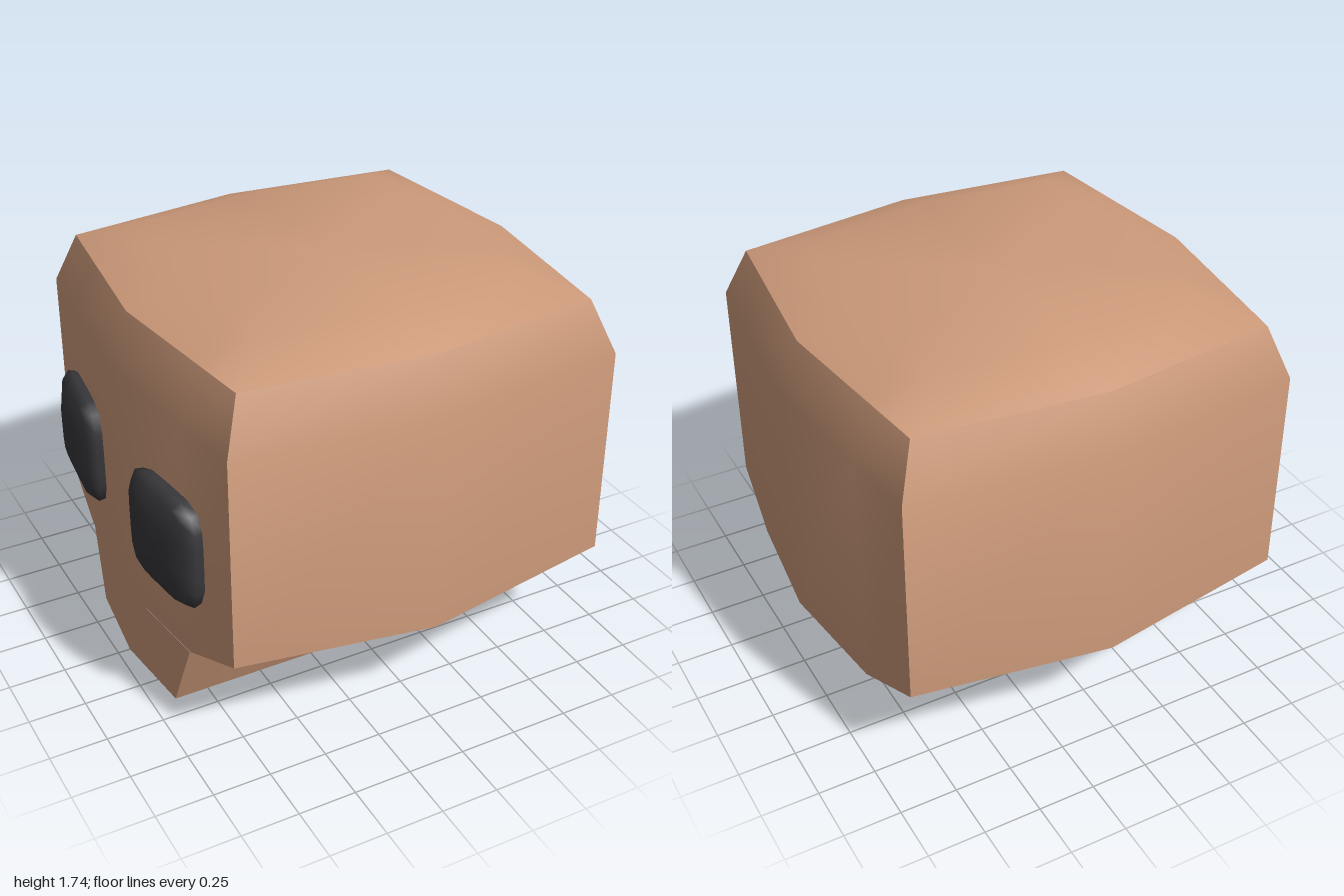
import * as THREE from 'three';
import { toCreasedNormals } from 'three/addons/utils/BufferGeometryUtils.js';

const CREASE = THREE.MathUtils.degToRad(40);
const JAW_Z = 0.535; // half depth of the flat underside, where the jaw joins

function build(points, faces) {
  const geo = new THREE.BufferGeometry();
  geo.setAttribute('position', new THREE.Float32BufferAttribute(points.flat(), 3));
  geo.setIndex(faces.flat());
  geo.computeVertexNormals();
  return geo;
}

// Skin equal-length rings (counter-clockwise seen from the outer end), with a cap on the last
function loft(rings, capPoint) {
  const n = rings[0].length, faces = [];
  for (let r = 0; r < rings.length - 1; r++) {
    for (let i = 0; i < n; i++) {
      const a = r * n + i, b = r * n + (i + 1) % n;
      faces.push([a, b, b + n], [a, b + n, a + n]);
    }
  }
  const points = rings.flat(), top = (rings.length - 1) * n;
  points.push(capPoint);
  for (let i = 0; i < n; i++) faces.push([top + i, top + (i + 1) % n, rings.length * n]);
  return build(points, faces);
}

// Eight outline points become twelve: each x side gains a point near the jaw joint
function outline(p, heights) {
  const mix = (c, m) => {
    const t = 1 - JAW_Z / 0.87;
    return [c[0] + (m[0] - c[0]) * t, c[1] + (m[1] - c[1]) * t];
  };
  const q = [p[0], p[1], p[2], mix(p[2], p[3]), p[3], mix(p[4], p[3]),
    p[4], p[5], p[6], mix(p[6], p[7]), p[7], mix(p[0], p[7])];
  return q.map(([x, z], i) => [x, Array.isArray(heights) ? heights[i] : heights, z]);
}

export function createModel() {
  const bone = new THREE.MeshStandardMaterial({ color: 0xcd9a7a });
  bone.name = 'tan';
  const dark = new THREE.MeshStandardMaterial({ color: 0x38383c });
  dark.name = 'charcoal';

  const group = new THREE.Group();
  group.name = 'blockHead';
  const add = (name, geo, mat, parent = group) => {
    const mesh = new THREE.Mesh(geo, mat);
    mesh.name = name;
    parent.add(mesh);
    return mesh;
  };

  // Cranium: bulging walls, bevelled shoulder and low domed top
  const wall = [[-0.835, 0.87], [0.03, 0.967], [0.9, 0.857], [0.995, 0],
    [0.88, -0.878], [0.01, -0.973], [-0.85, -0.86], [-0.945, 0]];
  const shoulder = [[-0.755, 0.79], [0.03, 0.878], [0.817, 0.772], [0.903, 0],
    [0.8, -0.797], [0.012, -0.882], [-0.77, -0.78], [-0.855, 0]];
  const crown = [[-0.56, 0.58], [0.025, 0.65], [0.61, 0.57], [0.68, 0],
    [0.6, -0.59], [0.015, -0.65], [-0.57, -0.58], [-0.63, 0]];
  const hem = [0.48, 0.435, 0.48, 0.34, 0.34, 0.34, 0.48, 0.435, 0.48, 0.34, 0.34, 0.34];
  const base = outline(wall, hem);
  add('cranium', toCreasedNormals(loft([
    base, outline(wall, 1.425), outline(shoulder, 1.65), outline(crown, 1.74),
  ], [0.02, 1.74, 0]), CREASE), bone);

  // Underside: flat middle with slopes rising to the front and back
  const under = build(base, [
    [1, 0, 11], [1, 11, 3], [1, 3, 2],
    [11, 10, 9], [11, 9, 5], [11, 5, 3], [5, 4, 3],
    [7, 6, 5], [7, 5, 9], [7, 9, 8],
  ]);
  add('underside', toCreasedNormals(under, 0.3), bone);

  // Jaw: tapers downwards, flush with the face
  const jawRing = (y, z, face, back) => [[face, y, z], [back, y, z], [0.365, y, 0],
    [back, y, -z], [face, y, -z], [-0.945, y, 0]];
  const jawTop = jawRing(0.34, JAW_Z, -0.88, 0.305);
  const jawBottom = jawRing(0, 0.4, -0.9, 0.323);
  const jaw = loft([jawTop.reverse(), jawBottom.reverse()], [-0.29, 0, 0]);
  add('jaw', toCreasedNormals(jaw, CREASE), bone);

  // Eyes: rounded square cushions, built along +z and turned onto the face
  const squircle = (half, depth) => Array.from({ length: 24 }, (_, i) => {
    const a = (i / 24) * Math.PI * 2, c = Math.cos(a), s = Math.sin(a);
    const k = half / Math.pow(Math.abs(c) ** 5 + Math.abs(s) ** 5, 0.2);
    return [c * k, s * k, depth];
  });
  const eyeGeo = loft([squircle(0.235, -0.02), squircle(0.245, 0.035),
    squircle(0.215, 0.07), squircle(0.125, 0.1)], [0, 0, 0.105]);
  for (const side of [1, -1]) {
    const eye = add(side > 0 ? 'frontEye' : 'backEye', eyeGeo, dark);
    eye.position.set(-0.89, 0.865, side * 0.44);
    eye.rotation.y = -Math.PI / 2 + side * 0.12;
  }
  return group;
}
